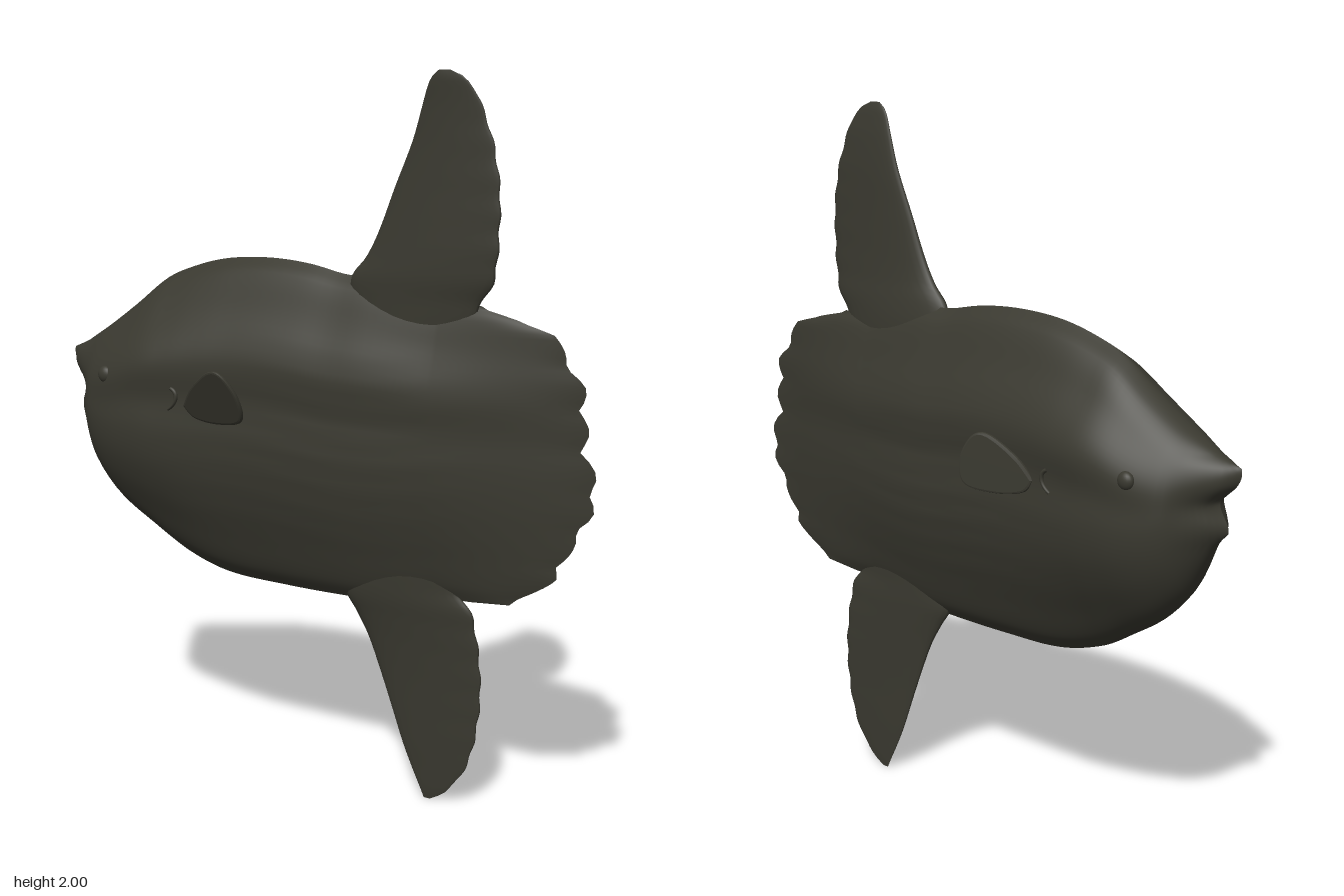
import * as THREE from 'three';

const clamp = THREE.MathUtils.clamp;

// Smooth (or linear) interpolation through [t, value] pairs
function curve(pts, linear = false) {
  const n = pts.length;
  const slope = (i) => {
    const a = pts[Math.max(0, i - 1)], b = pts[Math.min(n - 1, i + 1)];
    return (b[1] - a[1]) / (b[0] - a[0]);
  };
  return (t) => {
    if (t <= pts[0][0]) return pts[0][1];
    if (t >= pts[n - 1][0]) return pts[n - 1][1];
    let i = 0;
    while (t > pts[i + 1][0]) i++;
    const [t0, v0] = pts[i], [t1, v1] = pts[i + 1];
    const h = t1 - t0, s = (t - t0) / h;
    if (linear) return v0 + (v1 - v0) * s;
    const s2 = s * s, s3 = s2 * s;
    return (2 * s3 - 3 * s2 + 1) * v0 + (s3 - 2 * s2 + s) * h * slope(i)
      + (3 * s2 - 2 * s3) * v1 + (s3 - s2) * h * slope(i + 1);
  };
}

// Skin a list of closed rings
function loft(rows, ring, point) {
  const pos = [], idx = [];
  for (let i = 0; i <= rows; i++)
    for (let j = 0; j < ring; j++) pos.push(...point(i, (j / ring) * Math.PI * 2));
  for (let i = 0; i < rows; i++)
    for (let j = 0; j < ring; j++) {
      const a = i * ring + j, b = i * ring + (j + 1) % ring;
      idx.push(a, b, a + ring, b, b + ring, a + ring);
    }
  const g = new THREE.BufferGeometry();
  g.setAttribute('position', new THREE.Float32BufferAttribute(pos, 3));
  g.setIndex(idx);
  g.computeVertexNormals();
  return g;
}

// Body outline, width along the length, and cross-section shape
const top = curve([[-0.84, 1.185], [-0.8, 1.21], [-0.7, 1.27], [-0.6, 1.34], [-0.5, 1.415], [-0.4, 1.455],
  [-0.3, 1.48], [-0.2, 1.49], [-0.1, 1.49], [0, 1.48], [0.1, 1.46], [0.2, 1.45], [0.4, 1.4]]);
const bottom = curve([[-0.84, 1.01], [-0.81, 0.97], [-0.78, 0.92], [-0.72, 0.82], [-0.65, 0.74], [-0.55, 0.67],
  [-0.45, 0.61], [-0.3, 0.565], [-0.1, 0.555], [0.1, 0.555], [0.2, 0.56], [0.4, 0.6]]);
const width = curve([[-0.84, 0], [-0.82, 0.035], [-0.79, 0.065], [-0.75, 0.1], [-0.7, 0.138], [-0.6, 0.17],
  [-0.5, 0.178], [-0.4, 0.17], [-0.3, 0.158], [-0.2, 0.147], [0, 0.13], [0.2, 0.11], [0.4, 0.08],
  [0.6, 0.045], [0.75, 0.02], [0.86, 0.003]]);
const section = curve([[-1, 0], [-0.9, 0.25], [-0.7, 0.52], [-0.5, 0.76], [-0.28, 0.94], [-0.06, 1],
  [0.15, 0.95], [0.36, 1], [0.5, 0.9], [0.7, 0.6], [0.92, 0.27], [1, 0]]);
const mouth = curve([[0.97, 0.02], [1.02, 0.01], [1.07, 0.035], [1.09, 0.035], [1.14, -0.012], [1.18, -0.022], [1.21, 0]]);
const tailEdge = curve([[0.6, 0.5], [0.61, 0.62], [0.65, 0.68], [0.7, 0.75], [0.79, 0.79], [0.82, 0.81],
  [0.88, 0.84], [0.96, 0.855], [1.05, 0.825], [1.15, 0.82], [1.22, 0.81], [1.27, 0.77], [1.34, 0.73],
  [1.37, 0.63], [1.39, 0.54], [1.4, 0.52]], true);

function bodyGeometry() {
  const bodyRows = 56, tailRows = 28;
  return loft(bodyRows + tailRows, 112, (i, a) => {
    const s = clamp((i - bodyRows) / tailRows, 0, 1);
    const x0 = -0.84 + 1.24 * Math.pow(Math.min(1, i / bodyRows), 1.25);
    const v = Math.cos(a), t = top(x0), b = bottom(x0);
    const y = (t + b) / 2 + v * (t - b) / 2;
    let x = x0 + mouth(y) * clamp(1 - (x0 + 0.84) / 0.12, 0, 1);
    if (s > 0) {
      const scallop = 0.03 * (Math.abs(Math.sin(y * 30)) - 0.6) * Math.pow(s, 6) * Math.sqrt(1 - v * v);
      x = 0.4 + (tailEdge(y) - 0.4) * s + scallop;
    }
    // rounder on the head, ridged along the flanks
    const round = clamp((-0.45 - x0) / 0.3, 0, 1);
    let w = width(s > 0 ? x : x0) * THREE.MathUtils.lerp(section(v), Math.sqrt(1 - v * v), round);
    w *= 1 - Math.pow(s, 5);
    // shallow lengthwise skin folds
    const folds = Math.exp(-Math.pow((x - 0.05) / 0.3, 2)) * Math.exp(-Math.pow((y - 1) / 0.2, 2));
    w += 0.002 * folds * Math.sin(y * 85 + 2 * Math.sin(x * 7));
    return [x, y, Math.sign(Math.sin(a)) * Math.max(w, 0) * (Math.abs(Math.sin(a)) < 1e-6 ? 0 : 1) - 0.003];
  });
}

// Tall fin from rows of [y, front x, rear x, half thickness, z centre]
function tallFin(table) {
  const col = (k) => curve(table.map((r) => [r[0], r[k]]));
  const [front, rear, thick, mid] = [1, 2, 3, 4].map(col);
  const y0 = table[0][0], y1 = table[table.length - 1][0], rows = 48;
  return loft(rows, 28, (i, a) => {
    const y = y0 + (y1 - y0) * (i / rows), f = front(y);
    const r = rear(y) + 0.003 * Math.sin(y * 70);
    const u = (1 - Math.cos(a)) / 2;
    return [f + (r - f) * u, y, mid(y) + thick(y) * Math.sin(a) * (1.25 - 0.6 * u)];
  });
}

// Side fin: thin rounded plate, leaned outwards by a rule for z
function sideFin(zRule) {
  const shape = new THREE.Shape();
  shape.moveTo(-0.315, 1.08);
  shape.splineThru([[-0.27, 1.135], [-0.2, 1.185], [-0.16, 1.18], [-0.13, 1.12], [-0.14, 1.055],
    [-0.22, 1.04], [-0.29, 1.05], [-0.315, 1.08]].map((p) => new THREE.Vector2(...p)));
  const g = new THREE.ExtrudeGeometry(shape, {
    depth: 0.006, bevelEnabled: true, bevelSize: 0.006, bevelThickness: 0.005, bevelSegments: 2, curveSegments: 32,
  });
  const p = g.attributes.position;
  for (let i = 0; i < p.count; i++) p.setZ(i, p.getZ(i) + zRule(p.getX(i), p.getY(i)));
  g.computeVertexNormals();
  return g;
}

export function createModel() {
  const group = new THREE.Group();
  const skin = new THREE.MeshStandardMaterial({ color: 0x3a3930 });
  skin.name = 'dark olive skin';
  const add = (name, geometry) => {
    const m = new THREE.Mesh(geometry, skin);
    m.name = name;
    group.add(m);
    return m;
  };

  add('body', bodyGeometry());

  add('dorsalFin', tallFin([
    [1.3, 0.16, 0.47, 0.035, 0], [1.4, 0.13, 0.52, 0.036, 0.004], [1.46, 0.135, 0.56, 0.034, 0.01],
    [1.51, 0.18, 0.572, 0.029, 0.014], [1.58, 0.22, 0.578, 0.024, 0.016], [1.7, 0.27, 0.578, 0.018, 0.017],
    [1.82, 0.322, 0.557, 0.014, 0.018], [1.91, 0.352, 0.525, 0.01, 0.022], [1.96, 0.37, 0.5, 0.007, 0.027],
    [1.985, 0.385, 0.47, 0.005, 0.03], [2.0, 0.405, 0.435, 0, 0.032]]));

  add('analFin', tallFin([
    [0, 0.355, 0.375, 0, -0.028], [0.03, 0.342, 0.42, 0.003, -0.027], [0.08, 0.318, 0.465, 0.005, -0.026],
    [0.15, 0.288, 0.5, 0.008, -0.024], [0.25, 0.253, 0.523, 0.011, -0.021], [0.35, 0.217, 0.532, 0.015, -0.018],
    [0.45, 0.178, 0.527, 0.021, -0.014], [0.52, 0.14, 0.517, 0.027, -0.01], [0.57, 0.11, 0.505, 0.032, -0.006],
    [0.62, 0.12, 0.47, 0.034, -0.003], [0.72, 0.17, 0.45, 0.035, 0]]));

  add('leftSideFin', sideFin((x, y) => 0.145 + (y - 1.04) * 0.45));
  add('rightSideFin', sideFin((x) => -0.16 - (x + 0.3) * 0.34));

  // Eyes and gill slits on both flanks
  for (const side of [1, -1]) {
    const name = side > 0 ? 'left' : 'right';
    const eye = add(name + 'Eye', new THREE.SphereGeometry(0.025, 20, 14));
    eye.position.set(-0.62, 1.14, side * 0.15 - 0.003);
    eye.scale.z = 0.7;
    const gill = add(name + 'Gill', new THREE.TorusGeometry(0.045, 0.006, 8, 20, 2.2));
    gill.position.set(-0.4, 1.09, side * 0.161 - 0.003);
    gill.rotation.z = -1.1;
    gill.scale.x = 0.7;
  }
  return group;
}
